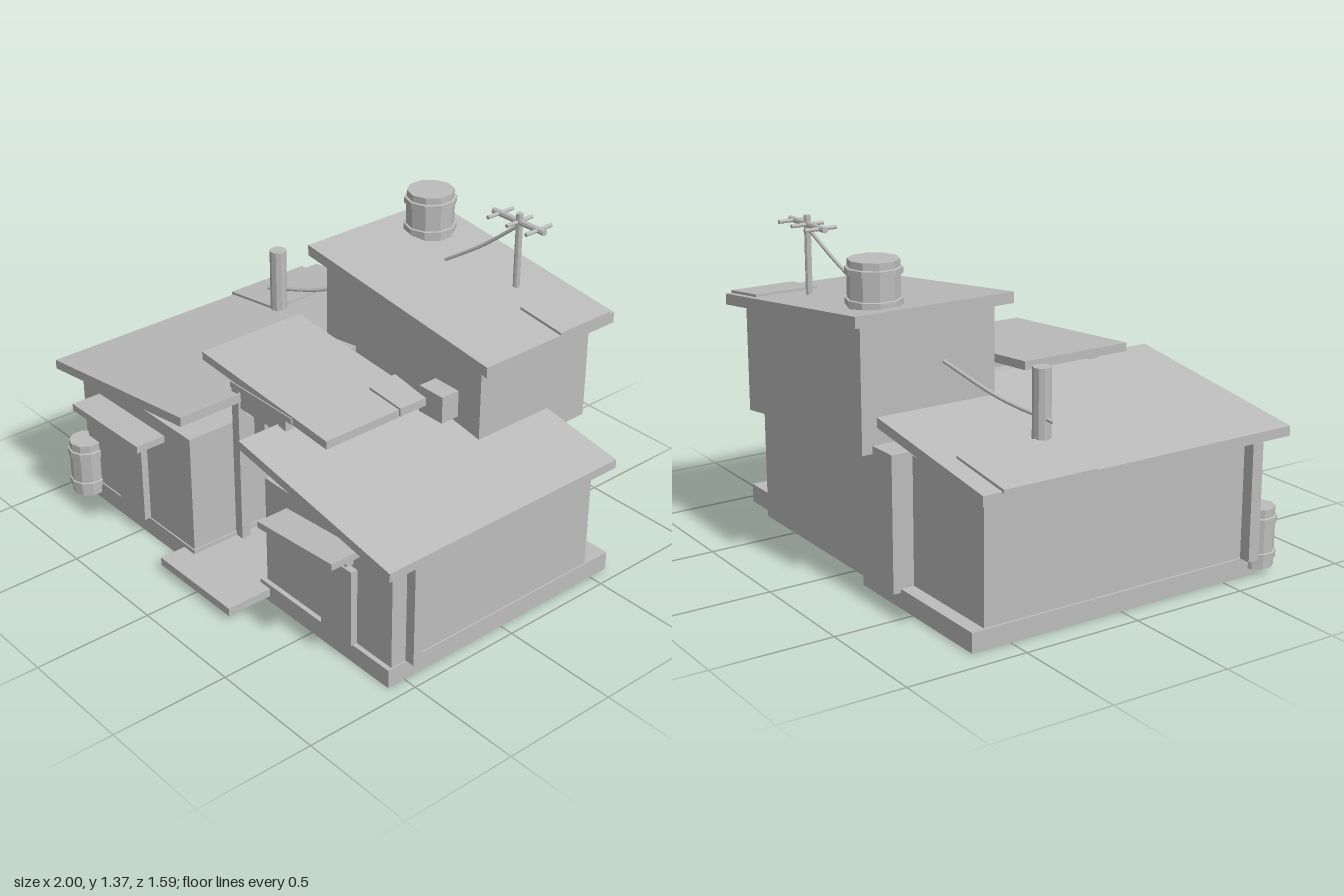
import * as THREE from 'three';

export function createModel() {
  const model = new THREE.Group();
  model.name = 'house';
  const grey = new THREE.MeshStandardMaterial({ color: 0xbcbcbc });
  grey.name = 'plain grey';

  function add(name, geometry, parent = model) {
    const mesh = new THREE.Mesh(geometry, grey);
    mesh.name = name;
    parent.add(mesh);
    return mesh;
  }

  // Box given by its limits on each axis
  function box(name, x0, x1, y0, y1, z0, z1) {
    const g = new THREE.BoxGeometry(x1 - x0, y1 - y0, z1 - z0);
    g.translate((x0 + x1) / 2, (y0 + y1) / 2, (z0 + z1) / 2);
    return add(name, g);
  }

  // Slab sloping along x: top height yl at x0 and yr at x1
  function slab(name, x0, x1, yl, yr, t, z0, z1) {
    const s = new THREE.Shape([
      new THREE.Vector2(x0, yl - t), new THREE.Vector2(x1, yr - t),
      new THREE.Vector2(x1, yr), new THREE.Vector2(x0, yl),
    ]);
    const g = new THREE.ExtrudeGeometry(s, { depth: z1 - z0, bevelEnabled: false });
    g.translate(0, 0, z0);
    return add(name, g);
  }

  function rod(name, a, b, r, sides = 8) {
    const p = new THREE.Vector3(...a), q = new THREE.Vector3(...b);
    const mesh = add(name, new THREE.CylinderGeometry(r, r, p.distanceTo(q), sides).toNonIndexed());
    mesh.geometry.computeVertexNormals();
    mesh.position.copy(p).lerp(q, 0.5);
    mesh.quaternion.setFromUnitVectors(new THREE.Vector3(0, 1, 0), q.sub(p).normalize());
    return mesh;
  }

  // Faceted barrel with two raised bands
  function barrel(name, x, y, z, r, h) {
    const profile = [[0, 0], [0.9, 0], [0.9, 0.13], [1, 0.14], [1, 0.26], [0.92, 0.27],
      [0.92, 0.72], [1, 0.73], [1, 0.85], [0.9, 0.86], [0.9, 1], [0, 1]];
    const g = new THREE.LatheGeometry(profile.map(([a, b]) => new THREE.Vector2(a * r, b * h)), 10).toNonIndexed();
    g.computeVertexNormals();
    add(name, g).position.set(x, y, z);
  }

  // Left wing
  box('leftBase', -0.9, -0.14, 0, 0.08, -0.667, 0.666);
  box('leftWalls', -0.89, -0.147, 0.08, 0.595, -0.61, 0.66);
  slab('leftRoof', -0.99, -0.1, 0.622, 0.745, 0.04, -0.68, 0.73);
  slab('leftRoofPatch', -1, -0.7, 0.632, 0.672, 0.015, -0.6, -0.2);
  box('leftPorchPost', -0.965, -0.915, 0.09, 0.6, 0.57, 0.62);

  // Right wing
  box('rightBase', 0.18, 0.94, 0, 0.08, -0.59, 0.58);
  box('rightWalls', 0.2, 0.933, 0.08, 0.55, -0.47, 0.56);
  slab('rightRoof', 0.14, 1, 0.717, 0.572, 0.037, -0.53, 0.635);
  box('rightPorchPost', 0.93, 0.977, 0.08, 0.55, 0.445, 0.49);

  // Middle block and upper storey
  box('middleBlock', -0.42, 0.585, 0.065, 0.612, -0.7, -0.11);
  slab('upperStorey', -0.285, 0.625, 1.085, 0.975, 0.45, -0.745, -0.155).geometry
    .computeBoundingBox();
  box('upperStoreyFoot', -0.285, 0.625, 0.58, 0.66, -0.745, -0.155);
  slab('upperRoof', -0.34, 0.705, 1.13, 1.005, 0.045, -0.795, -0.103);
  slab('upperRoofPatch', 0.485, 0.705, 1.042, 1.016, 0.014, -0.77, -0.495);
  box('wallUnit', 0.375, 0.505, 0.685, 0.8, -0.155, -0.07);

  // Entrance: step, canopy, beam, posts
  box('entranceStep', -0.21, 0.24, 0.027, 0.062, -0.11, 0.782);
  slab('canopy', -0.325, 0.44, 0.842, 0.782, 0.035, -0.04, 0.455);
  slab('canopyPatch', 0.27, 0.45, 0.806, 0.79, 0.035, -0.035, 0.095);
  box('canopyBeam', -0.14, 0.24, 0.765, 0.79, 0.42, 0.46);
  for (const x of [-0.125, 0.17]) box('canopyPost', x - 0.021, x + 0.021, 0.06, 0.77, 0.41, 0.45);
  box('hangingPanel', -0.115, 0.15, 0.675, 0.765, 0.415, 0.44);
  for (const [x, w] of [[0.012, 0.033], [0.095, 0.025]]) {
    box('hangingTag', x - w, x + w, 0.567, 0.675, 0.418, 0.437);
  }

  // Doors with a lamp box above each: x start, x end, wall z, foot height
  for (const [x0, x1, z, y] of [[-0.625, -0.45, 0.66, 0.08], [0.565, 0.74, 0.56, 0.08], [-0.1, 0.077, -0.11, 0.05]]) {
    box('door', x0, x1, y, 0.415, z, z + 0.03);
    const c = (x0 + x1) / 2;
    box('doorLamp', c - 0.066, c + 0.066, 0.43, 0.483, z, z + 0.035);
  }

  // Awnings
  slab('leftAwning', -0.78, -0.32, 0.527, 0.535, 0.03, 0.655, 0.792);
  slab('rightAwning', 0.33, 0.76, 0.478, 0.513, 0.028, 0.555, 0.7);

  // Barrel, tank and chimney
  barrel('yardBarrel', -0.875, 0.03, 0.687, 0.077, 0.245);
  barrel('roofTank', -0.165, 1.09, -0.612, 0.11, 0.2);
  rod('chimney', [-0.695, 0.64, -0.225], [-0.695, 0.94, -0.225], 0.036, 10);

  // Aerial
  rod('aerialMast', [0.353, 1.03, -0.603], [0.353, 1.365, -0.603], 0.014);
  rod('aerialBar', [0.21, 1.328, -0.603], [0.49, 1.328, -0.603], 0.013);
  for (const x of [0.245, 0.35, 0.455]) {
    rod('aerialCrossbar', [x, 1.328, -0.675], [x, 1.328, -0.535], 0.008);
  }

  // Cables
  for (const pts of [
    [[0.35, 1.31, -0.6], [0.2, 1.185, -0.55], [0.05, 1.085, -0.5]],
    [[-0.28, 0.89, -0.385], [-0.53, 0.79, -0.295], [-0.755, 0.742, -0.215]],
  ]) {
    const curve = new THREE.CatmullRomCurve3(pts.map((p) => new THREE.Vector3(...p)));
    add('cable', new THREE.TubeGeometry(curve, 10, 0.008, 6));
  }

  return model;
}
